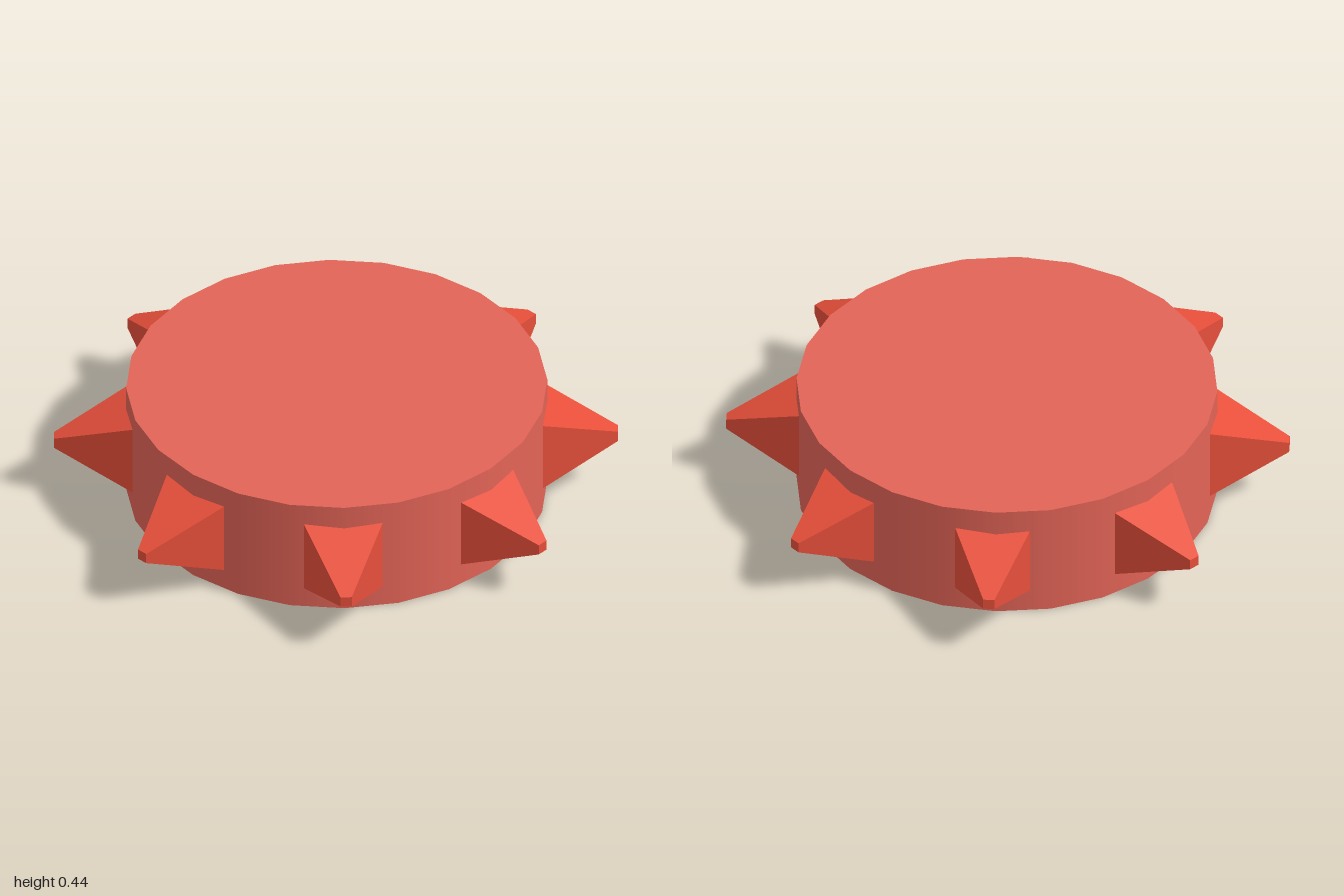
import * as THREE from 'three';

const bodyRed = new THREE.MeshStandardMaterial({ color: 0xe36457 });
bodyRed.name = 'bodyRed';
const spikeRed = new THREE.MeshStandardMaterial({ color: 0xe74f3a });
spikeRed.name = 'spikeRed';

const HEIGHT = 0.44;
const TIP_HALF = 0.02;   // half width of the blunt tip
const ROOT_HALF = 0.168; // half width at the hidden root
const LENGTH = 0.345;

// Square frustum along +z, with its tip at the origin
function spikeGeometry() {
  const g = new THREE.CylinderGeometry(TIP_HALF * Math.SQRT2, ROOT_HALF * Math.SQRT2, LENGTH, 4, 1).toNonIndexed();
  g.rotateY(Math.PI / 4);
  g.rotateX(Math.PI / 2);
  g.translate(0, 0, -LENGTH / 2);
  g.computeVertexNormals(); // flat faces
  return g;
}

export function createModel() {
  const model = new THREE.Group();
  model.name = 'spikedDisc';

  // Disc body
  const disc = new THREE.Mesh(new THREE.CylinderGeometry(0.747, 0.747, HEIGHT, 24), bodyRed);
  disc.name = 'disc';
  disc.position.set(0.003, HEIGHT / 2, -0.008);
  model.add(disc);

  // Ring of eight spikes: tip x and z, turning from the front towards the left
  const tips = [
    [0, 1], [0.708, 0.698], [1, 0.019], [0.72, -0.693],
    [0.015, -1], [-0.7, -0.718], [-1, -0.011], [-0.713, 0.7],
  ];
  const geometry = spikeGeometry();
  tips.forEach(([x, z], i) => {
    const spike = new THREE.Mesh(geometry, spikeRed);
    spike.name = `spike${i + 1}`;
    spike.position.set(x, 0.218, z);
    spike.rotation.y = (i * Math.PI) / 4;
    model.add(spike);
  });

  return model;
}
